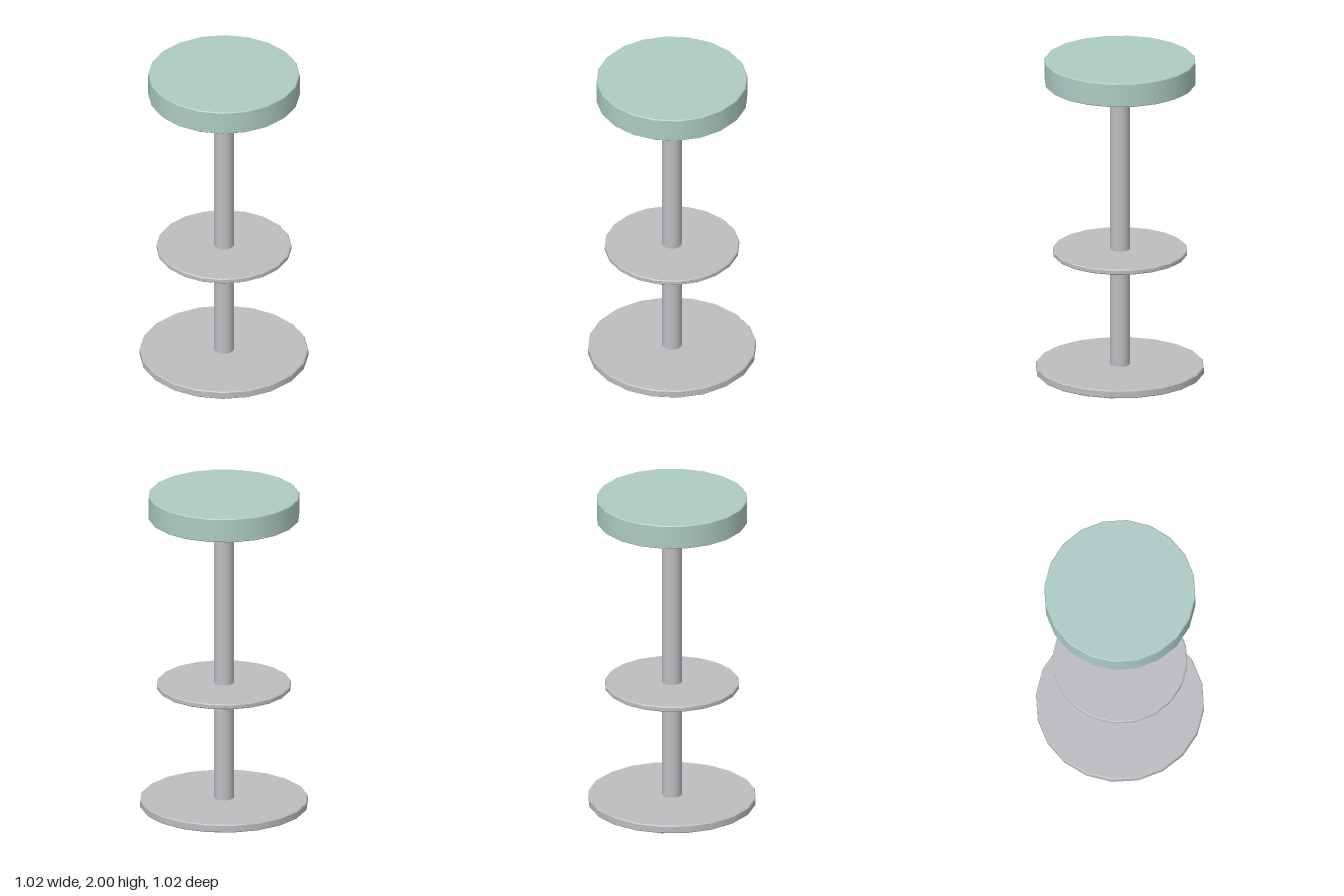
import * as THREE from 'three';
import { mergeGeometries } from 'three/addons/utils/BufferGeometryUtils.js';

const SIDES = 20;

// Disc or column with a small chamfer: round sides smooth, rims crisp.
function chamferedDisc(radius, bottom, top, chamfer) {
  const profile = [
    [0, bottom],
    [radius - chamfer, bottom],
    [radius, bottom + chamfer],
    [radius, top - chamfer],
    [radius - chamfer, top],
    [0, top],
  ].map(([x, y]) => new THREE.Vector2(x, y));
  const bands = [];
  for (let i = 0; i < profile.length - 1; i++) {
    bands.push(new THREE.LatheGeometry([profile[i], profile[i + 1]], SIDES));
  }
  return mergeGeometries(bands);
}

export function createModel() {
  const metal = new THREE.MeshStandardMaterial({ color: 0xbbbdc0 });
  metal.name = 'brushed metal';
  const cushion = new THREE.MeshStandardMaterial({ color: 0xaecbc4 });
  cushion.name = 'pale green cushion';

  const stool = new THREE.Group();
  stool.name = 'barStool';

  // name, radius, bottom, top, chamfer, material
  const parts = [
    ['base', 0.512, 0, 0.05, 0.006, metal],
    ['pole', 0.06, 0.04, 1.85, 0.006, metal],
    ['footrest', 0.41, 0.757, 0.79, 0.006, metal],
    ['seat', 0.46, 1.85, 2, 0.005, cushion],
  ];
  for (const [name, radius, bottom, top, chamfer, material] of parts) {
    const mesh = new THREE.Mesh(chamferedDisc(radius, bottom, top, chamfer), material);
    mesh.name = name;
    stool.add(mesh);
  }
  return stool;
}
